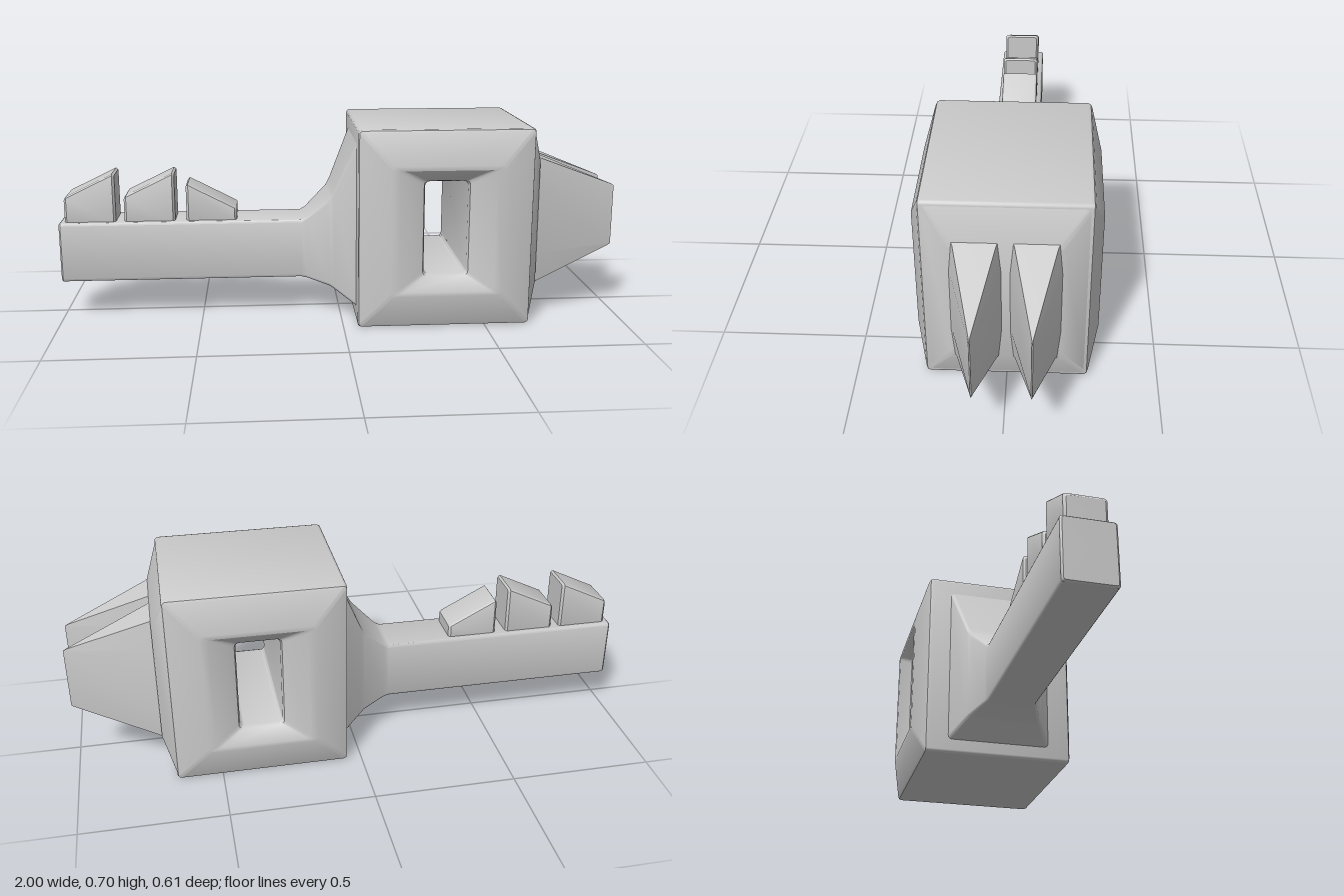
import * as THREE from 'three';
import { toCreasedNormals } from 'three/addons/utils/BufferGeometryUtils.js';

const material = new THREE.MeshStandardMaterial({ color: 0xcccccc, roughness: 0.7 });

// Counter-clockwise rectangle with rounded corners, in (u, v)
function rectRing(u0, u1, v0, v1, r) {
  const ring = [];
  const corners = [[u1 - r, v1 - r], [u0 + r, v1 - r], [u0 + r, v0 + r], [u1 - r, v0 + r]];
  corners.forEach(([u, v], c) => {
    for (let k = 0; k <= 3; k++) {
      const a = (c + k / 3) * Math.PI / 2;
      ring.push([u + r * Math.cos(a), v + r * Math.sin(a)]);
    }
  });
  return ring;
}

// Skin over sections { w, ring } along an axis; closed joins last to first, otherwise ends are capped
function loft(name, sections, axis, closed = false, crease = 0.7) {
  const place = axis === 'z'
    ? ([u, v], w) => [u, v, w]
    : ([u, v], w) => [w, u, v];
  const rings = sections.map(s => s.ring.map(p => place(p, s.w)));
  const n = rings[0].length;
  const verts = [];
  const tri = (a, b, c) => verts.push(...a, ...b, ...c);
  const count = closed ? rings.length : rings.length - 1;
  for (let j = 0; j < count; j++) {
    const a = rings[j], b = rings[(j + 1) % rings.length];
    for (let i = 0; i < n; i++) {
      const k = (i + 1) % n;
      tri(a[i], a[k], b[k]);
      tri(a[i], b[k], b[i]);
    }
  }
  if (!closed) {
    const middle = ring => [0, 1, 2].map(d => ring.reduce((s, p) => s + p[d], 0) / n);
    const first = rings[0], last = rings[rings.length - 1];
    const m0 = middle(first), m1 = middle(last);
    for (let i = 0; i < n; i++) {
      const k = (i + 1) % n;
      tri(m0, first[k], first[i]);
      tri(m1, last[i], last[k]);
    }
  }
  const geometry = new THREE.BufferGeometry();
  geometry.setAttribute('position', new THREE.Float32BufferAttribute(verts, 3));
  const mesh = new THREE.Mesh(toCreasedNormals(geometry, crease), material);
  mesh.name = name;
  return mesh;
}

// Section across the x axis: y range, half depth, corner radius
const xSection = (w, y0, y1, hz, r) => ({ w, ring: rectRing(y0, y1, -hz, hz, r) });

// Block with raised front and back frames around a through-hole
function createHead() {
  const profile = [
    [0.255, 0.05, 0.66, 0, 0.70, 0.012],
    [0.265, 0.053, 0.657, 0.003, 0.697, 0.012],
    [0.27, 0.062, 0.648, 0.012, 0.688, 0.012],
    [0.303, 0.16, 0.55, 0.12, 0.58, 0.012],
    [0.303, 0.19, 0.52, 0.135, 0.565, 0.012],
    [0.268, 0.275, 0.435, 0.185, 0.525, 0.015],
    [0.255, 0.28, 0.43, 0.19, 0.52, 0.015],
  ];
  const side = s => profile.map(([z, x0, x1, y0, y1, r]) => ({ w: s * z, ring: rectRing(x0, x1, y0, y1, r) }));
  return loft('headBlock', [...side(1), ...side(-1).reverse()], 'z', true);
}

// Wedge tooth whose top slopes from h0 to h1
function createTooth(x0, x1, h0, h1) {
  const b = 0.008, hz = 0.068;
  return loft('tooth', [
    xSection(x0, 0.33, h0 - b, hz - b, 0.008),
    xSection(x0 + b, 0.33, h0 + 0.003, hz, 0.01),
    xSection(x1 - b, 0.33, h1 - 0.003, hz, 0.01),
    xSection(x1, 0.33, h1 - b, hz - b, 0.008),
  ], 'x', false, 0.5);
}

// Blade tapering to a thin upright edge
function createBlade() {
  const section = (w, z0, z1, h, flat, cut) => ({
    w,
    ring: [[h, z0 + cut], [h, z1 - cut], [flat, z1], [-flat, z1],
      [-h, z1 - cut], [-h, z0 + cut], [-flat, z0], [flat, z0]]
      .map(([y, z]) => [0.35 + y, z]),
  });
  return loft('blade', [
    section(0.66, -0.002, 0.195, 0.25, 0.12, 0.012),
    section(0.71, 0.018, 0.17, 0.226, 0.118, 0.01),
    section(0.99, 0.086, 0.094, 0.116, 0.105, 0.002),
    section(1.0, 0.088, 0.092, 0.11, 0.1, 0.001),
  ], 'x', false, 0.5);
}

export function createModel() {
  const model = new THREE.Group();
  model.name = 'keyHammer';

  model.add(createHead());

  // Shallow swelling that carries the blades
  model.add(loft('bladeMount', [
    xSection(0.64, 0.006, 0.694, 0.262, 0.015),
    xSection(0.66, 0.015, 0.685, 0.255, 0.015),
    xSection(0.70, 0.12, 0.58, 0.18, 0.015),
  ], 'x'));

  // Shaft flaring into the head
  model.add(loft('shaft', [
    xSection(-1.0, 0.14, 0.345, 0.081, 0.008),
    xSection(-0.994, 0.135, 0.35, 0.087, 0.01),
    xSection(-0.14, 0.135, 0.35, 0.087, 0.01),
    xSection(-0.12, 0.132, 0.36, 0.093, 0.01),
    xSection(-0.04, 0.11, 0.435, 0.13, 0.012),
    xSection(-0.025, 0.102, 0.46, 0.14, 0.012),
    xSection(0.06, 0.045, 0.665, 0.192, 0.015),
  ], 'x'));

  // Row of teeth on the shaft
  const teeth = new THREE.Group();
  teeth.name = 'teeth';
  teeth.add(
    createTooth(-0.98, -0.80, 0.44, 0.525),
    createTooth(-0.77, -0.59, 0.44, 0.525),
    createTooth(-0.55, -0.37, 0.48, 0.40),
  );
  model.add(teeth);

  // Pair of blades: the second is turned half round about the head's long axis
  for (const turned of [false, true]) {
    const blade = createBlade();
    blade.name = turned ? 'backBlade' : 'frontBlade';
    if (turned) {
      blade.rotation.x = Math.PI;
      blade.position.y = 0.7;
    }
    model.add(blade);
  }
  return model;
}
